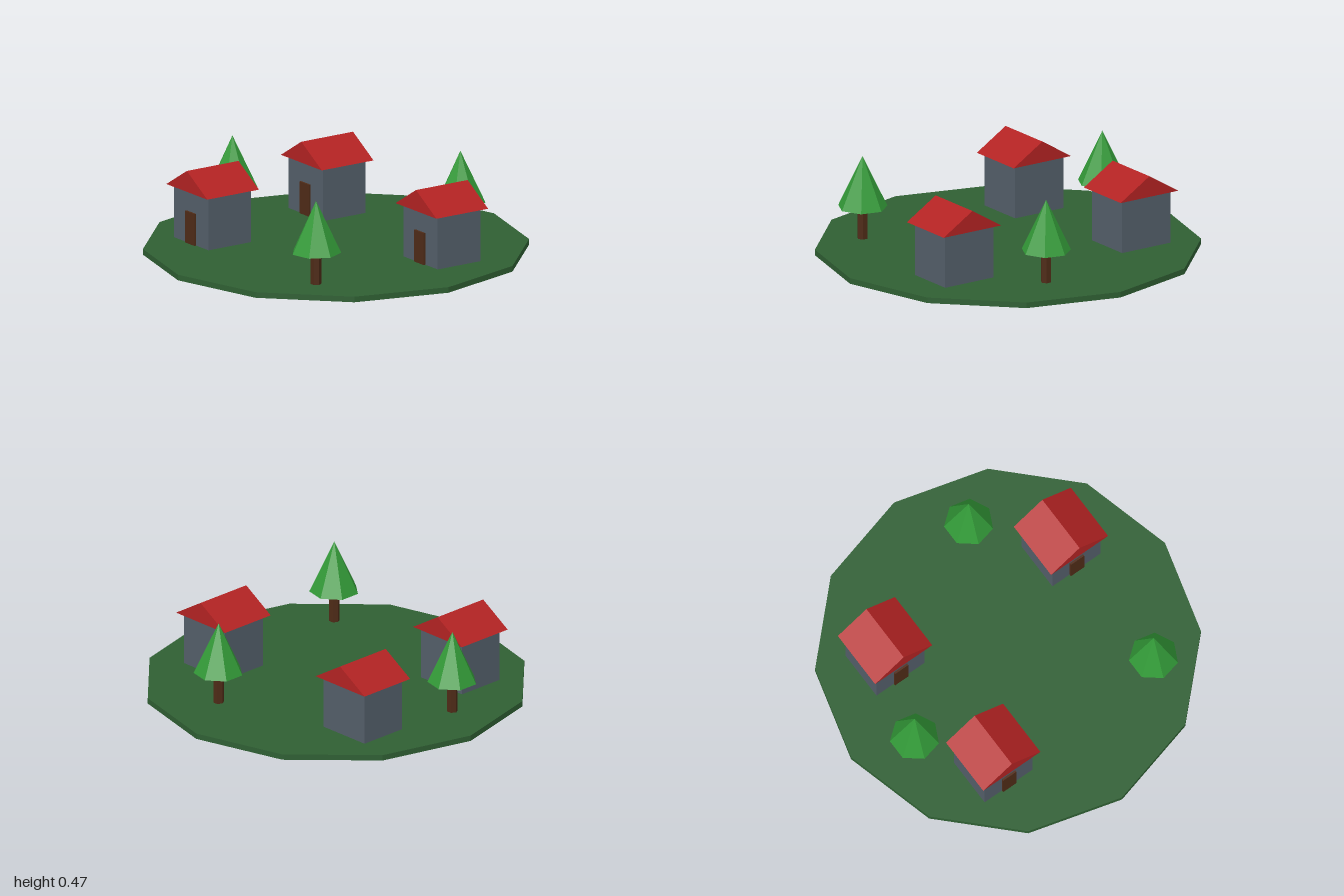
import * as THREE from 'three';

const GROUND = 0.03;

const paint = (color) => new THREE.MeshStandardMaterial({ color, flatShading: true });

function part(name, geometry, material, x = 0, y = 0, z = 0) {
  const mesh = new THREE.Mesh(geometry, material);
  mesh.name = name;
  mesh.position.set(x, y, z);
  return mesh;
}

export function createModel() {
  const village = new THREE.Group();
  village.name = 'village';

  const grass = paint(0x2f5f33);
  const stone = paint(0x535e69);
  const tile = paint(0xb22222);
  const wood = paint(0x4f2b17);
  const leaf = paint(0x339a38);

  // Twelve-sided ground disc
  village.add(part('ground', new THREE.CylinderGeometry(1, 1, GROUND, 12), grass, 0, GROUND / 2));

  // House parts: box walls, solid gable prism, thin door on the front
  const wallsGeo = new THREE.BoxGeometry(0.305, 0.285, 0.27);
  const doorGeo = new THREE.BoxGeometry(0.085, 0.17, 0.02);
  const gable = new THREE.Shape([
    new THREE.Vector2(-0.182, 0),
    new THREE.Vector2(0.182, 0),
    new THREE.Vector2(0, 0.112),
  ]);
  const roofGeo = new THREE.ExtrudeGeometry(gable, { depth: 0.327, bevelEnabled: false });
  roofGeo.translate(0, 0, -0.1635);

  for (const [x, z] of [[-0.543, -0.331], [0.543, -0.283], [-0.436, 0.47]]) {
    const house = new THREE.Group();
    house.name = 'house';
    house.position.set(x, GROUND, z);
    house.add(
      part('walls', wallsGeo, stone, 0, 0.1425, 0),
      part('roof', roofGeo, tile, 0, 0.283, 0),
      part('door', doorGeo, wood, 0, 0.085, 0.136),
    );
    village.add(house);
  }

  // Tree parts: six-sided trunk and seven-sided crown, a corner towards +x
  const trunkGeo = new THREE.CylinderGeometry(0.028, 0.028, 0.18, 6).rotateY(Math.PI / 2);
  const crownGeo = new THREE.ConeGeometry(0.13, 0.275, 7).rotateY(Math.PI / 2);

  for (const [x, z] of [[0.212, -0.636], [-0.706, 0.153], [0.551, 0.519]]) {
    const tree = new THREE.Group();
    tree.name = 'tree';
    tree.position.set(x, GROUND, z);
    tree.add(
      part('trunk', trunkGeo, wood, 0, 0.09, 0),
      part('crown', crownGeo, leaf, 0, 0.3065, 0),
    );
    village.add(tree);
  }

  return village;
}
